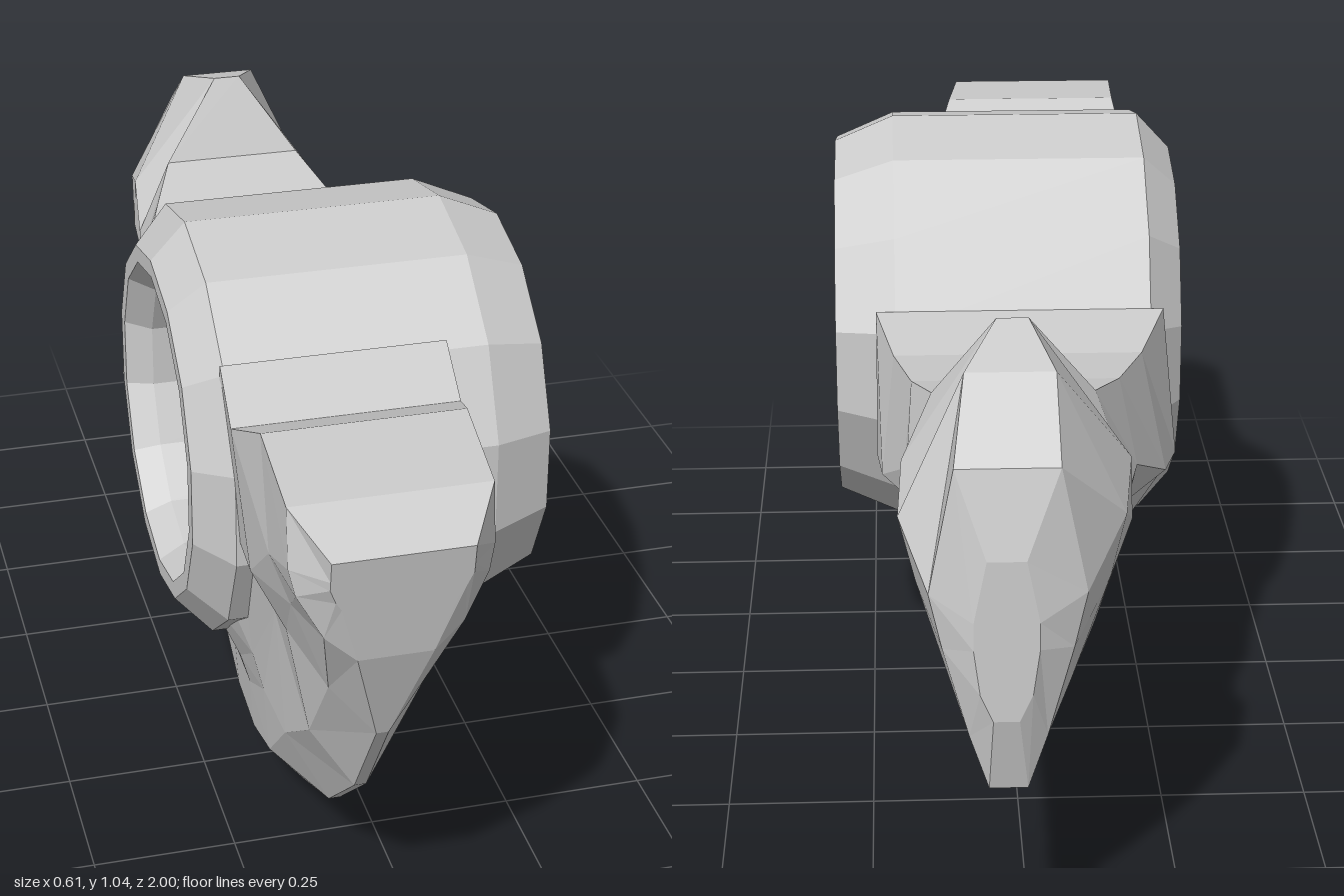
import * as THREE from 'three';

const material = new THREE.MeshStandardMaterial({ color: 0xcccccc, flatShading: true });

// Heights (keel to top) at which every arm section has a half-width
const LEVELS = [0, 0.17, 0.45, 0.62, 1];

// Point [z, y] on a circle in the side plane, angle in degrees
function onCircle(z, y, radius, degrees) {
  const a = THREE.MathUtils.degToRad(degrees);
  return [z + radius * Math.cos(a), y + radius * Math.sin(a)];
}
const onKeel = (degrees) => onCircle(0.12, 0.87, 0.87, degrees);
const onSleeve = (degrees) => onCircle(0.16, 0.67, 0.31, degrees);

// Front pad: keel angle, top [z, y], half-widths
const PAD = [
  [-6, [1.0, 0.87], [0.09, 0.1, 0.11, 0.11, 0.11]],
  [-13, [0.9, 0.915], [0.06, 0.11, 0.15, 0.16, 0.16]],
  [-26, [0.7, 0.93], [0.01, 0.08, 0.13, 0.16, 0.165]],
  [-41, [0.56, 0.865], [0.01, 0.08, 0.11, 0.165, 0.19]],
  [-56, [0.45, 0.92], [0.01, 0.085, 0.1, 0.16, 0.19]],
];

// Neck and nose: keel [z, y], top [z, y], half-widths
const NOSE = [
  [onKeel(-125), [-0.19, 0.79], [0.01, 0.09, 0.11, 0.26, 0.25]],
  [onKeel(-136), [-0.34, 0.765], [0.01, 0.1, 0.12, 0.24, 0.21]],
  [[-0.64, 0.435], [-0.5, 0.78], [0.02, 0.1, 0.17, 0.19, 0.17]],
  [[-0.7, 0.405], [-0.63, 0.81], [0.04, 0.11, 0.17, 0.18, 0.13]],
  [[-0.78, 0.375], [-0.69, 0.955], [0.05, 0.12, 0.18, 0.18, 0.025]],
  [[-0.9, 0.335], [-0.82, 0.915], [0.04, 0.09, 0.15, 0.175, 0.07]],
  [[-0.97, 0.29], [-0.955, 0.815], [0.03, 0.06, 0.1, 0.12, 0.08]],
  [[-1.0, 0.42], [-0.99, 0.68], [0.02, 0.04, 0.05, 0.05, 0.03]],
];

// Belly: keel and top both sweep along their circles under the sleeve
function bellySections() {
  return Array.from({ length: 5 }, (_, i) => [
    onKeel(-70 - 11 * i), onSleeve(-28 - 31 * i), [0.01, 0.08, 0.1, 0.125, 0.2],
  ]);
}

// Points of one closed section loop; the arm runs askew in x and its keel leans to -x
function sectionLoop([[bz, by], [tz, ty], widths]) {
  const side = (sign) => LEVELS.map((t, i) => {
    const z = bz + (tz - bz) * t;
    const centre = -0.03 - 0.07 * z - 0.04 * (1 - t) * (1 - z * z);
    return [centre + sign * widths[i], by + (ty - by) * t, z];
  });
  return [...side(1), ...side(-1).reverse()];
}

function loft(loops) {
  const n = loops[0].length;
  const index = [];
  for (let s = 0; s < loops.length - 1; s++) {
    for (let j = 0; j < n; j++) {
      const a = s * n + j, b = s * n + (j + 1) % n;
      index.push(a, a + n, b, b, a + n, b + n);
    }
  }
  // End caps as strips between mirrored points
  const last = (loops.length - 1) * n;
  for (let a = 0; a < n / 2 - 1; a++) {
    const b = a + 1, c = n - 2 - a, d = n - 1 - a;
    index.push(a, b, c, a, c, d);
    index.push(last + a, last + c, last + b, last + a, last + d, last + c);
  }
  const geometry = new THREE.BufferGeometry();
  geometry.setAttribute('position', new THREE.Float32BufferAttribute(loops.flat(2), 3));
  geometry.setIndex(index);
  const flat = geometry.toNonIndexed();
  flat.computeVertexNormals();
  return flat;
}

export function createModel() {
  const model = new THREE.Group();

  // Curved arm with front pad, keeled belly and rear nose
  const pad = PAD.map(([angle, top, widths]) => [onKeel(angle), top, widths]);
  const sections = [...pad, ...bellySections(), ...NOSE];
  const arm = new THREE.Mesh(loft(sections.map(sectionLoop)), material);
  arm.name = 'rockerArm';
  model.add(arm);

  // Pivot sleeve running across the arm, with chamfered rims and a countersunk bore
  const profile = [
    [0.252, -0.26], [0.28, -0.305], [0.31, -0.305], [0.375, -0.245],
    [0.375, 0.2], [0.33, 0.305], [0.31, 0.305], [0.252, 0.2], [0.252, -0.26],
  ].map(([r, x]) => new THREE.Vector2(r, x));
  const sleeve = new THREE.Mesh(new THREE.LatheGeometry(profile, 14, Math.PI / 2), material);
  sleeve.name = 'pivotSleeve';
  sleeve.rotation.z = -Math.PI / 2;
  sleeve.position.set(0, 0.67, 0.16);
  model.add(sleeve);

  return model;
}
